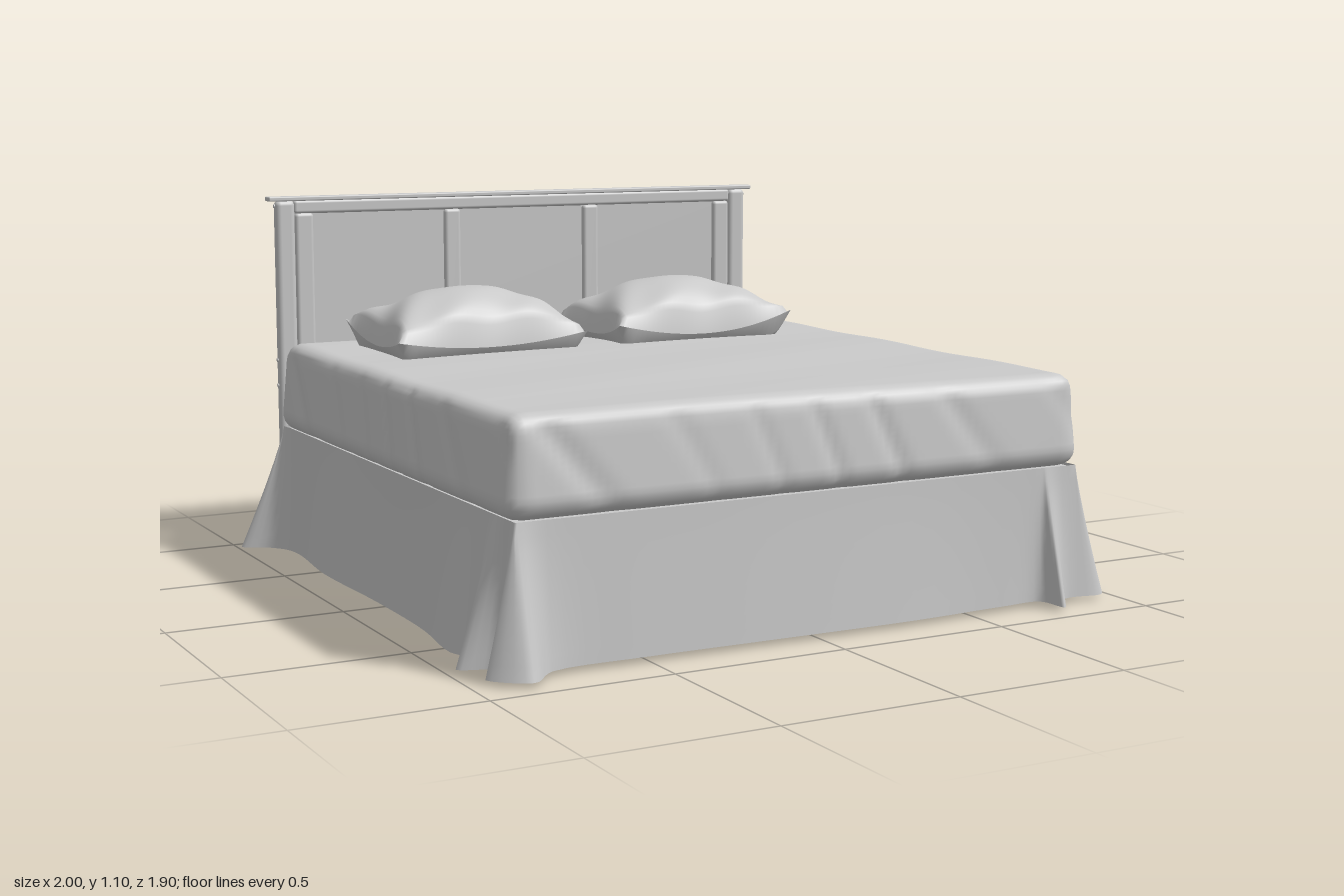
import * as THREE from 'three';
import { mergeVertices } from 'three/addons/utils/BufferGeometryUtils.js';
import { RoundedBoxGeometry } from 'three/addons/geometries/RoundedBoxGeometry.js';

const clamp = THREE.MathUtils.clamp;

// Smooth surface over a grid of points; fn(u, v) returns [x, y, z] for u, v in 0..1
function gridSurface(nu, nv, fn) {
  const pos = [], idx = [];
  for (let j = 0; j <= nv; j++)
    for (let i = 0; i <= nu; i++) pos.push(...fn(i / nu, j / nv));
  for (let j = 0; j < nv; j++)
    for (let i = 0; i < nu; i++) {
      const a = j * (nu + 1) + i, b = a + 1, c = a + nu + 1, d = c + 1;
      idx.push(a, b, d, a, d, c);
    }
  let geo = new THREE.BufferGeometry();
  geo.setAttribute('position', new THREE.Float32BufferAttribute(pos, 3));
  geo.setIndex(idx);
  geo = mergeVertices(geo, 1e-4);
  geo.computeVertexNormals();
  return geo;
}

// Soft block with rounded edges, sides leaning in towards the top, and slanting creases
function mattressGeometry() {
  const hx = 0.866, hy = 0.1325, hz = 0.845, r = 0.045;
  let geo = new THREE.BoxGeometry(hx * 2, hy * 2, hz * 2, 80, 16, 80);
  geo.deleteAttribute('normal');
  geo.deleteAttribute('uv');
  geo = mergeVertices(geo);
  const p = geo.attributes.position, v = new THREE.Vector3(), core = new THREE.Vector3();
  for (let i = 0; i < p.count; i++) {
    v.fromBufferAttribute(p, i);
    core.set(clamp(v.x, r - hx, hx - r), clamp(v.y, r - hy, hy - r), clamp(v.z, r - hz, hz - r));
    const dir = v.clone().sub(core).normalize();
    const side = 1 - Math.abs(dir.y);
    const s = Math.abs(dir.x) > Math.abs(dir.z) ? v.z : v.x;
    const crease = Math.pow(Math.max(0, Math.sin(s * 26 + v.y * 14 + 2 * Math.sin(s * 5))), 4);
    let d = r + side * (0.009 - 0.01 * crease * (0.4 + 0.6 * Math.sin(s * 3 + 1) ** 2) - v.y * 0.09);
    if (dir.y > 0.5) d += 0.004 * Math.sin(v.x * 3 + v.z * 7) * Math.sin(v.z * 4 + 1);
    v.copy(core).addScaledVector(dir, d);
    p.setXYZ(i, v.x, v.y, v.z);
  }
  geo.computeVertexNormals();
  return geo;
}

// Hem outline, running along the front, right side, back and left side
const hem = [
  [-0.86, 0.95], [-0.78, 0.885], [-0.5, 0.875], [-0.15, 0.88], [0.3, 0.885], [0.6, 0.872],
  [0.73, 0.875], [0.755, 0.95], [0.81, 0.88], [0.94, 0.875], [0.975, 0.83], [0.89, 0.79],
  [0.93, 0.71], [0.89, 0.6], [0.885, 0.3], [0.89, 0], [0.88, -0.4], [0.885, -0.72],
  [0.94, -0.8], [0.89, -0.84], [1.0, -0.9], [0.97, -0.94], [0.89, -0.89], [0.8, -0.9],
  [0.3, -0.895], [-0.3, -0.9], [-0.78, -0.895], [-0.89, -0.88], [-0.96, -0.95], [-1.0, -0.91],
  [-0.93, -0.84], [-0.89, -0.75], [-0.91, -0.4], [-0.9, 0], [-0.905, 0.35], [-0.93, 0.59],
  [-0.91, 0.68], [-0.98, 0.745], [-0.89, 0.81], [-0.955, 0.87],
];

// Cloth hanging from the rectangle under the mattress down to the hem
function skirtGeometry() {
  const curve = new THREE.CatmullRomCurve3(hem.map(([x, z]) => new THREE.Vector3(x, 0, z)), true, 'centripetal');
  return gridSurface(hem.length * 5, 10, (u, t) => {
    const b = curve.getPoint(u % 1);
    const tx = clamp(b.x, -0.868, 0.855), tz = clamp(b.z, -0.865, 0.855);
    const k = Math.pow(1 - t, 1.15);
    const low = 0.017 - 0.05 * Math.min(0.2, Math.hypot(b.x - tx, b.z - tz));
    return [tx + (b.x - tx) * k, low + (0.39 - low) * t, tz + (b.z - tz) * k];
  });
}

// Pillow half between four corners [x, y, z]: back left, back right, front right, front left
function pillowGeometry(c, top) {
  return gridSurface(36, 28, (u0, v) => {
    const u = top ? u0 : 1 - u0;
    const a = u * 2 - 1, b = 1 - v * 2;
    const eu = 1 - a * a, ev = 1 - b * b;
    // Edges pull inwards between the corners
    const su = (a * (1 - 0.07 * ev) + 1) / 2, sv = (1 - b * (1 - 0.09 * eu)) / 2;
    const mix = k => (c[3][k] * (1 - su) + c[2][k] * su) * (1 - sv) + (c[0][k] * (1 - su) + c[1][k] * su) * sv;
    const fill = Math.pow(eu * ev, 0.43);
    const seam = 0.668 + (mix(1) - 0.668) * (a * a) * (b * b);
    const fold = 0.007 * Math.sin(a * 8 + b * 5) * fill * (1 - fill) * 4;
    const y = top ? seam + 0.168 * fill + fold : Math.max(0.645, seam - 0.2 * fill);
    return [mix(0), y, mix(2)];
  });
}

export function createModel() {
  const model = new THREE.Group();
  model.name = 'bed';
  const grey = new THREE.MeshStandardMaterial({ color: 0xcacaca, side: THREE.DoubleSide });
  grey.name = 'plain grey';

  const add = (name, geo, parent = model) => {
    const m = new THREE.Mesh(geo, grey);
    m.name = name;
    parent.add(m);
    return m;
  };
  // Block given by its limits, with softened edges if r > 0
  const block = (name, parent, x0, x1, y0, y1, z0, z1, r = 0) => {
    const s = [x1 - x0, y1 - y0, z1 - z0];
    const geo = r ? new RoundedBoxGeometry(...s, 3, r) : new THREE.BoxGeometry(...s);
    add(name, geo, parent).position.set((x0 + x1) / 2, (y0 + y1) / 2, (z0 + z1) / 2);
  };

  // Bedding, with the base raised a little above the hem
  add('mattress', mattressGeometry()).position.set(-0.009, 0.5175, 0.005);
  add('bedSkirt', skirtGeometry());
  block('bedBase', model, -0.855, 0.845, 0.095, 0.385, -0.855, 0.84);

  // Pillows
  const pillows = {
    rightPillow: [[-0.71, 0.73, -0.725], [-0.09, 0.71, -0.735], [-0.08, 0.7, -0.325], [-0.71, 0.7, -0.285]],
    leftPillow: [[0, 0.7, -0.72], [0.635, 0.74, -0.77], [0.64, 0.73, -0.315], [0.025, 0.71, -0.315]],
  };
  for (const [name, corners] of Object.entries(pillows)) {
    const g = new THREE.Group();
    g.name = name;
    add('pillowTop', pillowGeometry(corners, true), g);
    add('pillowUnderside', pillowGeometry(corners, false), g);
    model.add(g);
  }

  // Headboard, built around its own middle
  const head = new THREE.Group();
  head.name = 'headboard';
  head.position.set(-0.024, 0, 0.004);
  model.add(head);
  block('cap', head, -0.862, 0.862, 1.085, 1.099, -0.952, -0.908, 0.004);
  block('topRail', head, -0.78, 0.78, 1.045, 1.087, -0.945, -0.914, 0.01);
  block('panel', head, -0.78, 0.78, 0.58, 1.05, -0.939, -0.932);
  block('middleRail', head, -0.78, 0.78, 0.55, 0.595, -0.943, -0.914, 0.01);
  block('lowerRail', head, -0.78, 0.78, 0.485, 0.537, -0.943, -0.914, 0.01);
  for (const s of [-1, 1]) {
    const x = s * 0.808;
    block('post', head, x - 0.031, x + 0.031, 0, 1.087, -0.948, -0.91, 0.016);
    const i = s * 0.747;
    block('sideStile', head, i - 0.03, i + 0.03, 0.58, 1.047, -0.936, -0.912, 0.0115);
    block('mullion', head, s * 0.248 - 0.028, s * 0.248 + 0.028, 0.58, 1.047, -0.936, -0.912, 0.0115);
    // Bolt heads on the outer face of the post
    for (const y of [0.51, 0.59, 1.07]) {
      const bolt = add('bolt', new THREE.CylinderGeometry(0.006, 0.006, 0.004, 12), head);
      bolt.rotation.z = Math.PI / 2;
      bolt.position.set(s * 0.84, y, -0.929);
    }
  }
  return model;
}
